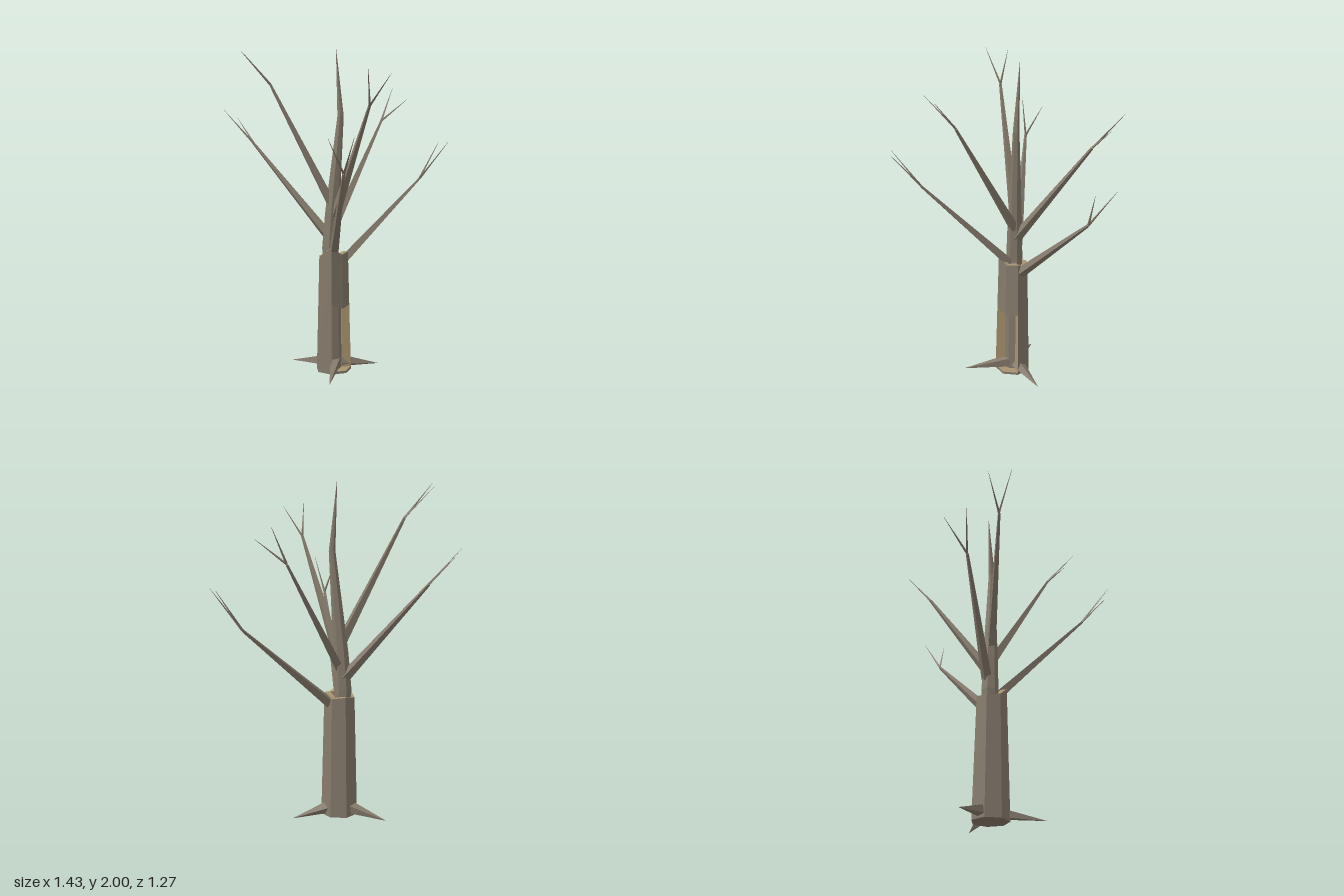
import * as THREE from 'three';

const V = (x, y, z) => new THREE.Vector3(x, y, z);
const bark = new THREE.MeshStandardMaterial({ color: 0x857a6c, flatShading: true });
const wood = new THREE.MeshStandardMaterial({ color: 0xa8946f, flatShading: true });
const SIDES = 7;
const PHASE = THREE.MathUtils.degToRad(100); // first corner of the trunk outline

// Flat-shaded mesh from quads (four corners, counter-clockwise from outside)
function quadMesh(name, quads, material) {
  const points = quads.flatMap(([a, b, c, d]) => [a, b, c, a, c, d]);
  const geometry = new THREE.BufferGeometry().setFromPoints(points);
  geometry.computeVertexNormals();
  const mesh = new THREE.Mesh(geometry, material);
  mesh.name = name;
  return mesh;
}

// Polygon of n corners around a centre, square to dir
function ring(center, radius, dir, n, phase = 0) {
  const u = V(1, 0, 0).addScaledVector(dir, -dir.x).normalize();
  const v = u.clone().cross(dir);
  return Array.from({ length: n }, (_, i) => {
    const a = phase - (i / n) * Math.PI * 2;
    return center.clone().addScaledVector(u, Math.cos(a) * radius).addScaledVector(v, Math.sin(a) * radius);
  });
}

// Tapered limb through a list of [point, radius]
function limb(name, stops, n, phase = 0, fixedDir = null) {
  const rings = stops.map(([p, r], i) => {
    const from = stops[Math.max(0, i - 1)][0];
    const to = stops[Math.min(stops.length - 1, i + 1)][0];
    return ring(p, r, fixedDir || to.clone().sub(from).normalize(), n, phase);
  });
  const quads = [];
  for (let i = 0; i < rings.length - 1; i++) {
    for (let k = 0; k < n; k++) {
      const j = (k + 1) % n;
      quads.push([rings[i][k], rings[i][j], rings[i + 1][j], rings[i + 1][k]]);
    }
  }
  const base = stops[0][0];
  for (let k = 0; k < n; k++) quads.push([base, rings[0][(k + 1) % n], rings[0][k], base]);
  return quadMesh(name, quads, bark);
}

// Corner of the trunk shell
function corner(k, radius, y) {
  const a = PHASE - (k / SIDES) * Math.PI * 2;
  return V(-0.045 + radius * Math.cos(a), y, -0.11 + radius * Math.sin(a));
}

// Bark shell: thick staves around the core, with a hollow at the front right
function trunkShell() {
  const group = new THREE.Group();
  group.name = 'trunkShell';
  const topY = [0.8, 0.75, 0.76, 0.73, 0.74, 0.73, 0.74];
  const IN = 0.052;
  const outer = y => 0.112 - 0.026 * y;
  const stave = (name, k, low, high, inset, ends) => {
    const j = (k + 1) % SIDES;
    const radius = (i, y) => outer(y) - (i === 1 ? inset : 0);
    const [a, b] = [corner(k, radius(k, low[0]), low[0]), corner(j, radius(j, low[1]), low[1])];
    const [c, d] = [corner(j, radius(j, high[1]), high[1]), corner(k, radius(k, high[0]), high[0])];
    const [ia, ib] = [corner(k, IN, low[0]), corner(j, IN, low[1])];
    const [ic, id] = [corner(j, IN, high[1]), corner(k, IN, high[0])];
    group.add(quadMesh(name + 'Bark', [[a, b, c, d], [ia, ib, b, a]], bark));
    const cut = [[d, c, ic, id], [ib, ia, id, ic]];
    if (ends.includes('start')) cut.push([ia, a, d, id]);
    if (ends.includes('end')) cut.push([b, ib, ic, c]);
    group.add(quadMesh(name + 'Wood', cut, wood));
  };
  for (let k = 0; k < SIDES; k++) {
    const high = [topY[k], topY[(k + 1) % SIDES]];
    if (k < 2) {
      stave('hollowLintel', k, k ? [0.41, 0.42] : [0.44, 0.41], high, 0.014, []);
      stave('hollowSill', k, [0, 0], [0.015, 0.015], 0, []);
    } else {
      stave('stave', k, [0, 0], high, 0, k === 2 ? ['start'] : k === 6 ? ['end'] : []);
    }
  }
  return group;
}

export function createModel() {
  const tree = new THREE.Group();
  tree.name = 'bareTree';
  tree.add(trunkShell());

  // Core trunk rising through the shell to a point
  tree.add(limb('coreTrunk', [
    [V(-0.045, 0, -0.11), 0.052], [V(-0.05, 0.45, -0.112), 0.052], [V(-0.065, 0.78, -0.122), 0.052],
    [V(-0.052, 1.0, -0.12), 0.046], [V(0, 1.6, -0.11), 0.02], [V(-0.025, 2, -0.135), 0.001],
  ], SIDES, PHASE, V(0, 1, 0)));

  // Branches: start, start radius, fork, two twig tips
  const branches = [
    [V(-0.07, 0.85, -0.14), 0.034, V(-0.535, 1.42, -0.31), V(-0.72, 1.63, -0.335), V(-0.645, 1.58, -0.455)],
    [V(-0.04, 1.03, -0.115), 0.034, V(-0.425, 1.79, -0.115), V(-0.6, 1.99, -0.06), V(-0.58, 1.97, -0.2)],
    [V(-0.045, 0.75, -0.08), 0.034, V(-0.017, 1.3, 0.46), V(-0.11, 1.5, 0.615), V(0.028, 1.51, 0.635)],
    [V(-0.035, 0.98, -0.11), 0.034, V(0.142, 1.67, 0.275), V(0.117, 1.87, 0.45), V(0.25, 1.85, 0.41)],
    [V(-0.045, 0.9, -0.12), 0.034, V(0.29, 1.555, -0.48), V(0.38, 1.765, -0.635), V(0.465, 1.695, -0.525)],
    [V(0.02, 0.7, -0.14), 0.034, V(0.533, 1.185, -0.39), V(0.675, 1.42, -0.495), V(0.71, 1.42, -0.36)],
  ];
  for (const [start, radius, fork, ...tips] of branches) {
    const branch = new THREE.Group();
    branch.name = 'branch';
    branch.add(limb('bough', [[start, radius], [fork, 0.009]], 4, 0.6));
    for (const tip of tips) branch.add(limb('twig', [[fork, 0.008], [tip, 0.0008]], 3, 0.5));
    tree.add(branch);
  }

  // Roots tapering out to the ground
  const roots = [
    [V(-0.035, 0.055, -0.09), V(-0.085, 0.006, 0.2)],
    [V(0, 0.05, -0.13), V(0.245, 0.006, -0.2)],
    [V(-0.09, 0.05, -0.15), V(-0.3, 0.006, -0.305)],
  ];
  for (const [start, tip] of roots) tree.add(limb('root', [[start, 0.042], [tip, 0.001]], 4, 0.8));
  return tree;
}
